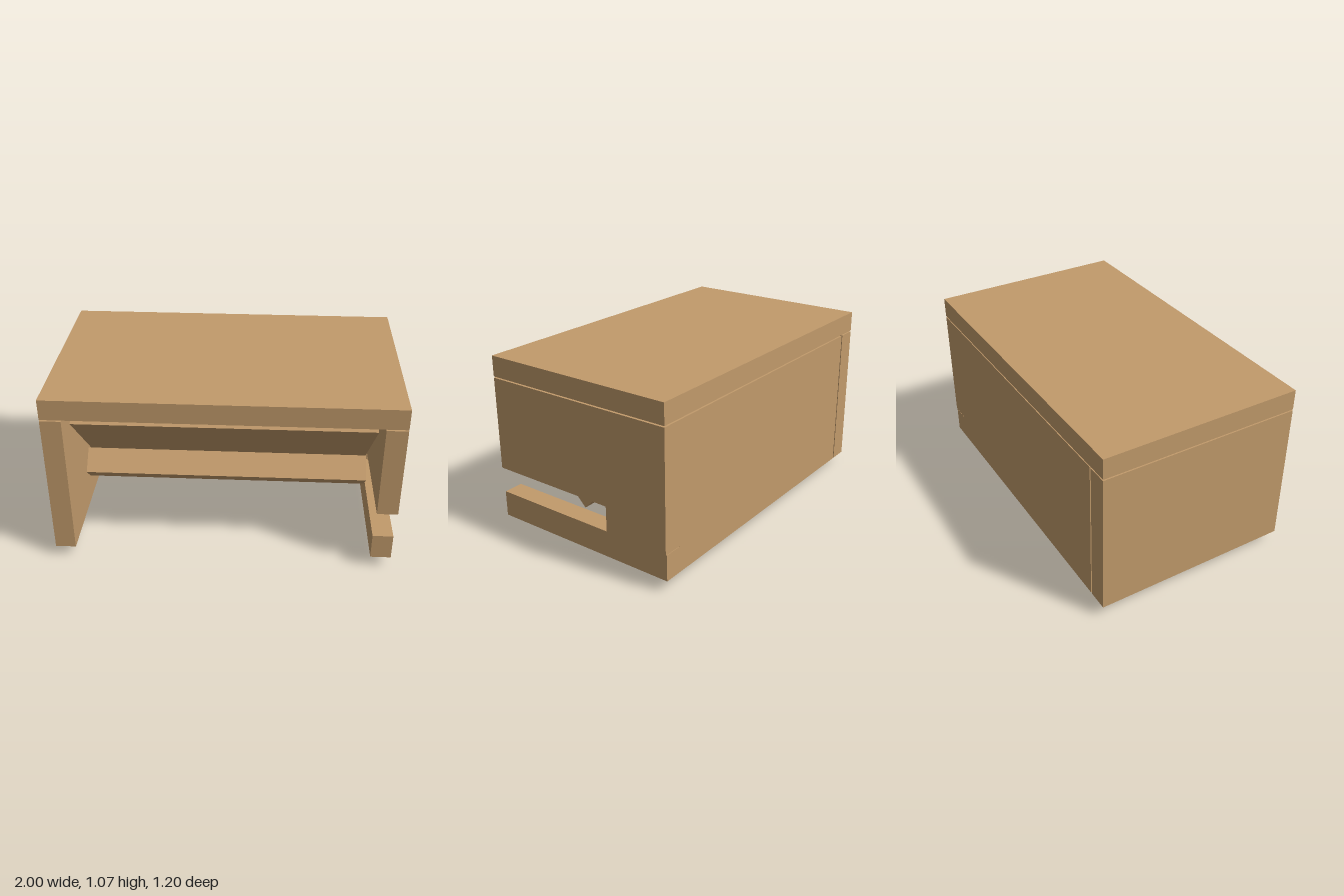
import * as THREE from 'three';

const wood = new THREE.MeshStandardMaterial({ color: 0xc19a6b });
const steel = new THREE.MeshStandardMaterial({ color: 0x708090 });

// Box given by its limits along each axis
function block(parent, name, [x0, x1], [y0, y1], [z0, z1], material = wood) {
  const mesh = new THREE.Mesh(new THREE.BoxGeometry(x1 - x0, y1 - y0, z1 - z0), material);
  mesh.position.set((x0 + x1) / 2, (y0 + y1) / 2, (z0 + z1) / 2);
  mesh.name = name;
  parent.add(mesh);
  return mesh;
}

export function createModel() {
  const model = new THREE.Group();
  model.name = 'woodenCabinet';

  // Top, plain side and back
  block(model, 'top', [-1, 1], [0.948, 1.07], [-0.6, 0.6]);
  block(model, 'rightSide', [-1, -0.88], [0.07, 0.94], [-0.6, 0.6]);
  block(model, 'back', [-0.87, 0.88], [0.07, 0.94], [-0.6, -0.48]);

  // Slotted side: panel with a cut-away front corner, and a rail below it
  const outline = new THREE.Shape([
    [-0.6, 0.385], [0.2, 0.385], [0.2, 0.229], [0.6, 0.229], [0.6, 0.94], [-0.6, 0.94],
  ].map(([x, y]) => new THREE.Vector2(x, y)));
  const panel = new THREE.ExtrudeGeometry(outline, { depth: 0.12, bevelEnabled: false });
  panel.rotateY(Math.PI / 2);
  const leftSide = new THREE.Mesh(panel, wood);
  leftSide.name = 'leftSide';
  leftSide.position.x = 0.88;
  model.add(leftSide);
  block(model, 'leftRail', [0.87, 0.99], [0.07, 0.226], [-0.6, 0.6]);

  // Sloping parts, laid out flat and tilted 45 degrees together
  const slope = new THREE.Group();
  slope.name = 'slopingBoards';
  slope.rotation.x = -Math.PI / 4;
  model.add(slope);
  block(slope, 'upperBoard', [-0.87, 0.863], [0.269, 0.389], [0.054, 0.923]);
  block(slope, 'lowerBoard', [-0.865, 0.868], [0.269, 0.389], [-0.269, 0.051]);
  block(slope, 'crossBar', [-0.88, 0.862], [0.104, 0.262], [0.219, 0.336]);

  // Hinge plates across the seam of the boards
  for (const x of [-0.468, 0.423]) {
    block(slope, 'hinge', [x - 0.118, x + 0.118], [0.242, 0.256], [-0.037, 0.119], steel);
  }
  return model;
}
